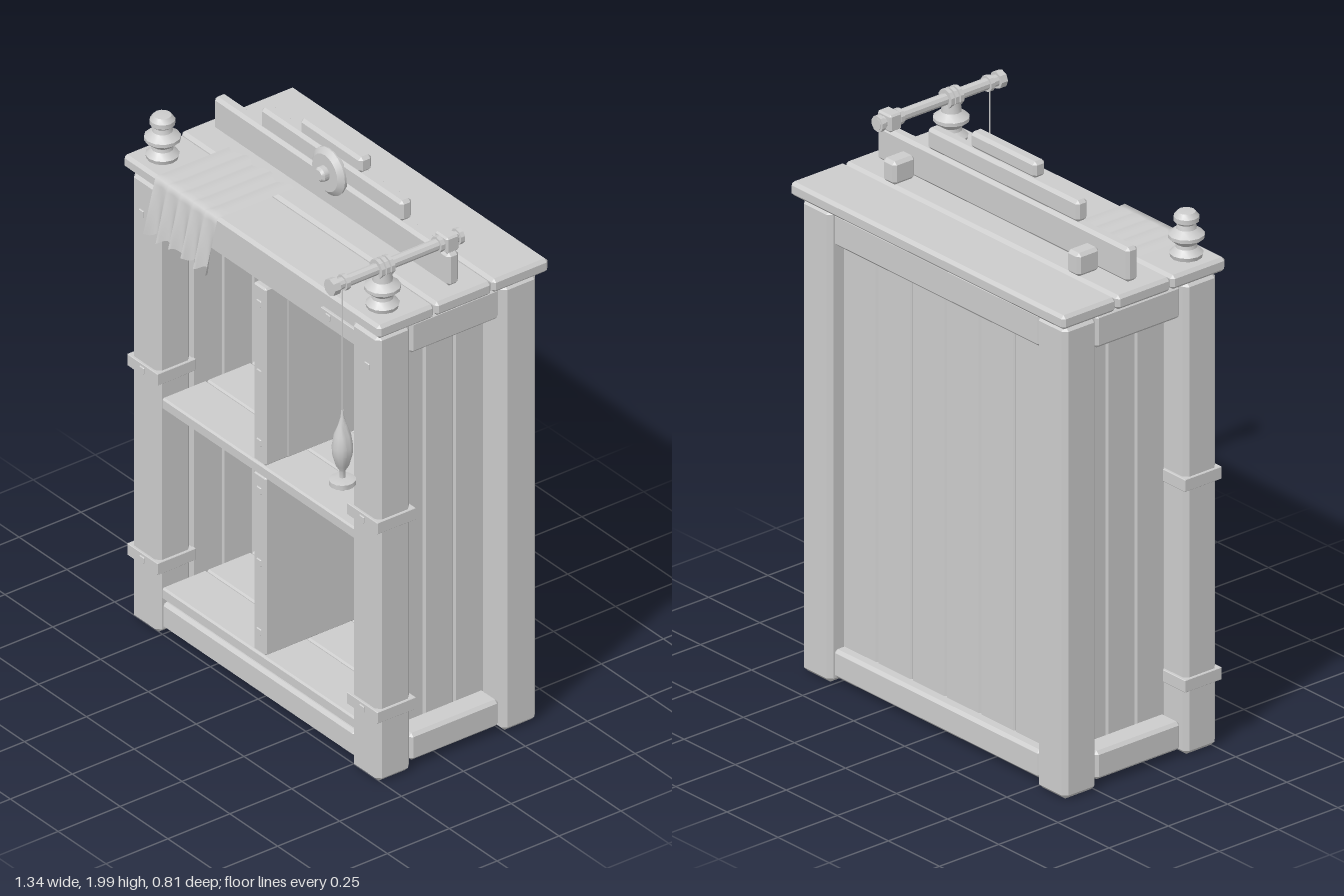
import * as THREE from 'three';
import { ConvexGeometry } from 'three/addons/geometries/ConvexGeometry.js';
import { toCreasedNormals } from 'three/addons/utils/BufferGeometryUtils.js';

export function createModel() {
  const root = new THREE.Group();
  const grey = new THREE.MeshStandardMaterial({ color: 0xcccccc, side: THREE.DoubleSide });
  grey.name = 'plain grey';

  const add = (name, geometry, x = 0, y = 0, z = 0) => {
    const mesh = new THREE.Mesh(geometry, grey);
    mesh.name = name;
    mesh.position.set(x, y, z);
    root.add(mesh);
    return mesh;
  };
  // chamfered board given by its extents: three points cut off each corner
  const board = (name, x0, x1, y0, y1, z0, z1, bevel = 0.011) => {
    const w = (x1 - x0) / 2, h = (y1 - y0) / 2, d = (z1 - z0) / 2;
    const b = Math.min(bevel, w / 2, h / 2, d / 2);
    const points = [];
    for (const i of [-1, 1]) for (const j of [-1, 1]) for (const k of [-1, 1])
      points.push(
        new THREE.Vector3(i * w, j * (h - b), k * (d - b)),
        new THREE.Vector3(i * (w - b), j * h, k * (d - b)),
        new THREE.Vector3(i * (w - b), j * (h - b), k * d));
    return add(name, new ConvexGeometry(points), (x0 + x1) / 2, (y0 + y1) / 2, (z0 + z1) / 2);
  };
  // turned part from [radius, height] pairs
  const turned = (name, points, sides, x, y, z, crease = 0.6) => {
    const g = new THREE.LatheGeometry(points.map(p => new THREE.Vector2(...p)), sides);
    return add(name, toCreasedNormals(g, crease), x, y, z);
  };
  // cylinder lying along z
  const alongZ = (name, r, z0, z1, x, y, sides = 10) => {
    const g = new THREE.CylinderGeometry(r, r, z1 - z0, sides).rotateX(Math.PI / 2);
    return add(name, toCreasedNormals(g, 0.5), x, y, (z0 + z1) / 2);
  };
  const stud = (x, y, z) => board('stud', x - 0.012, x + 0.012, y - 0.012, y + 0.012, z - 0.006, z + 0.004, 0.003);

  // posts, straps, sides: mirrored left and right
  for (const s of [-1, 1]) {
    const mirrored = (name, a, b, ...rest) => board(name, Math.min(s * a, s * b), Math.max(s * a, s * b), ...rest);
    mirrored('frontPost', 0.504, 0.646, 0.008, 1.68, 0.128, 0.265, 0.016);
    mirrored('rearPost', 0.504, 0.646, 0.008, 1.68, -0.382, -0.242, 0.016);
    for (const y of [0.262, 0.972]) {
      mirrored('postStrap', 0.495, 0.655, y - 0.022, y + 0.022, 0.118, 0.274, 0.002);
      stud(s * 0.575, y, 0.274);
    }
    stud(s * 0.59, 1.55, 0.265);
    mirrored('sideBottomRail', 0.54, 0.632, 0.03, 0.13, -0.237, 0.122);
    mirrored('sideTopRail', 0.54, 0.632, 1.557, 1.675, -0.237, 0.122);
    for (let i = 0; i < 3; i++) {
      const z = -0.24 + i * 0.122;
      mirrored('sidePlank', 0.505, 0.548, 0.11, 1.64, z, z + 0.12, 0.006);
    }
    mirrored('backboardBrace', 0.42, 0.482, 1.738, 1.82, -0.182, -0.09);
  }

  // front and back rails
  board('frontBottomRail', -0.505, 0.505, 0.03, 0.128, 0.165, 0.25);
  board('frontTopRail', -0.505, 0.505, 1.555, 1.672, 0.155, 0.235);
  board('backBottomRail', -0.505, 0.505, 0.03, 0.13, -0.368, -0.28);
  board('backTopRail', -0.505, 0.505, 1.557, 1.675, -0.368, -0.28);
  board('railPlate', 0.32, 0.503, 1.592, 1.632, 0.23, 0.245, 0.002);
  stud(0.36, 1.612, 0.245);

  // back planks
  for (let i = 0; i < 6; i++) {
    const x = -0.504 + i * 0.168;
    board('backPlank', x, x + 0.166, 0.11, 1.64, -0.328, -0.29, 0.006);
  }

  // top planks, floor and middle shelf
  for (const [z0, z1] of [[-0.409, -0.183], [-0.179, 0.048], [0.052, 0.28]])
    board('topPlank', -0.67, 0.67, 1.688, 1.738, z0, z1);
  for (const [name, y0, y1] of [['floorPlank', 0.138, 0.182], ['shelfPlank', 0.85, 0.893]])
    for (const [z0, z1] of [[-0.29, -0.112], [-0.109, 0.069], [0.072, 0.25]])
      board(name, -0.505, 0.505, y0, y1, z0, z1, 0.006);

  // dividers; the upper one is notched around the top rail
  board('lowerDivider', -0.032, 0.032, 0.18, 0.848, -0.29, 0.245, 0.006);
  board('upperDivider', -0.032, 0.032, 0.892, 1.688, -0.29, 0.156, 0.004);
  board('upperDividerFront', -0.032, 0.032, 0.892, 1.556, 0.15, 0.245, 0.006);
  for (const y of [0.26, 0.52, 0.79, 0.97, 1.23, 1.49]) stud(0, y, 0.245);

  // stepped backboard with round boss
  board('backboardLower', -0.615, 0.615, 1.738, 1.86, -0.09, -0.043);
  board('backboardMiddle', -0.37, 0.37, 1.862, 1.938, -0.09, -0.043);
  board('backboardUpper', -0.16, 0.16, 1.942, 2.0, -0.09, -0.04);
  turned('boss', [[0, 0], [0.083, 0], [0.085, 0.012], [0.066, 0.028], [0.026, 0.028], [0.026, 0.046], [0.018, 0.054], [0, 0.054]],
    20, 0, 1.88, -0.047).rotation.x = Math.PI / 2;

  // finials; the right-hand base carries the rod
  const base = [[0, 0], [0.052, 0], [0.056, 0.014], [0.036, 0.034], [0.034, 0.046], [0.06, 0.068], [0.06, 0.08], [0.034, 0.1]];
  turned('finial', [...base, [0.03, 0.116], [0.042, 0.126], [0.042, 0.142], [0.03, 0.158], [0, 0.161]], 12, -0.578, 1.738, 0.19);
  turned('rodBase', [...base, [0.03, 0.135], [0, 0.135]], 12, 0.573, 1.738, 0.19);

  // rod with collars and end knobs
  const rx = 0.573, ry = 1.886;
  alongZ('rod', 0.02, -0.125, 0.395, rx, ry);
  for (const z of [0.17, 0.19, 0.21]) alongZ('collar', 0.034, z - 0.007, z + 0.007, rx, ry);
  for (const z of [-0.115, -0.035, 0.345]) alongZ('ring', 0.028, z - 0.008, z + 0.008, rx, ry);
  alongZ('rodEnd', 0.03, 0.378, 0.404, rx, ry, 8);
  board('rodRest', rx - 0.033, rx + 0.033, 1.856, 1.916, -0.095, -0.045, 0.006);

  // hanging spindle
  add('thread', new THREE.CylinderGeometry(0.003, 0.003, 0.5, 6), rx, 1.64, 0.352);
  turned('spindle', [[0, 0], [0.007, 0], [0.007, 0.022], [0.044, 0.025], [0.044, 0.042], [0.01, 0.05], [0.01, 0.075],
    [0.022, 0.095], [0.034, 0.14], [0.035, 0.165], [0.028, 0.21], [0.014, 0.245], [0.006, 0.275], [0.004, 0.3], [0, 0.3]],
    14, rx, 1.108, 0.352, 0.9);

  // draped cloth: flat on the top, over the edge, flaring scalloped folds
  const nu = 60, nv = 20;
  const cloth = new THREE.PlaneGeometry(1, 1, nu, nv);
  const p = cloth.attributes.position;
  for (let i = 0; i < p.count; i++) {
    const u = p.getX(i) + 0.5, v = 0.5 - p.getY(i);
    const x = -0.49 + u * 0.325;
    const fold = Math.abs(Math.sin(u * Math.PI * 5));
    if (v < 0.6) {
      const start = -0.012 + 0.012 * Math.sin(u * 18);
      p.setXYZ(i, x, 1.742 + 0.004 * fold, THREE.MathUtils.lerp(start, 0.284, v / 0.6));
    } else {
      const t = (v - 0.6) / 0.4;
      const length = 0.197 + 0.006 * Math.sin(u * 41);
      p.setXYZ(i, x, 1.743 - t * length, 0.286 + t * (0.018 + 0.032 * (1 - fold)));
    }
  }
  cloth.computeVertexNormals();
  add('cloth', cloth);

  return root;
}
